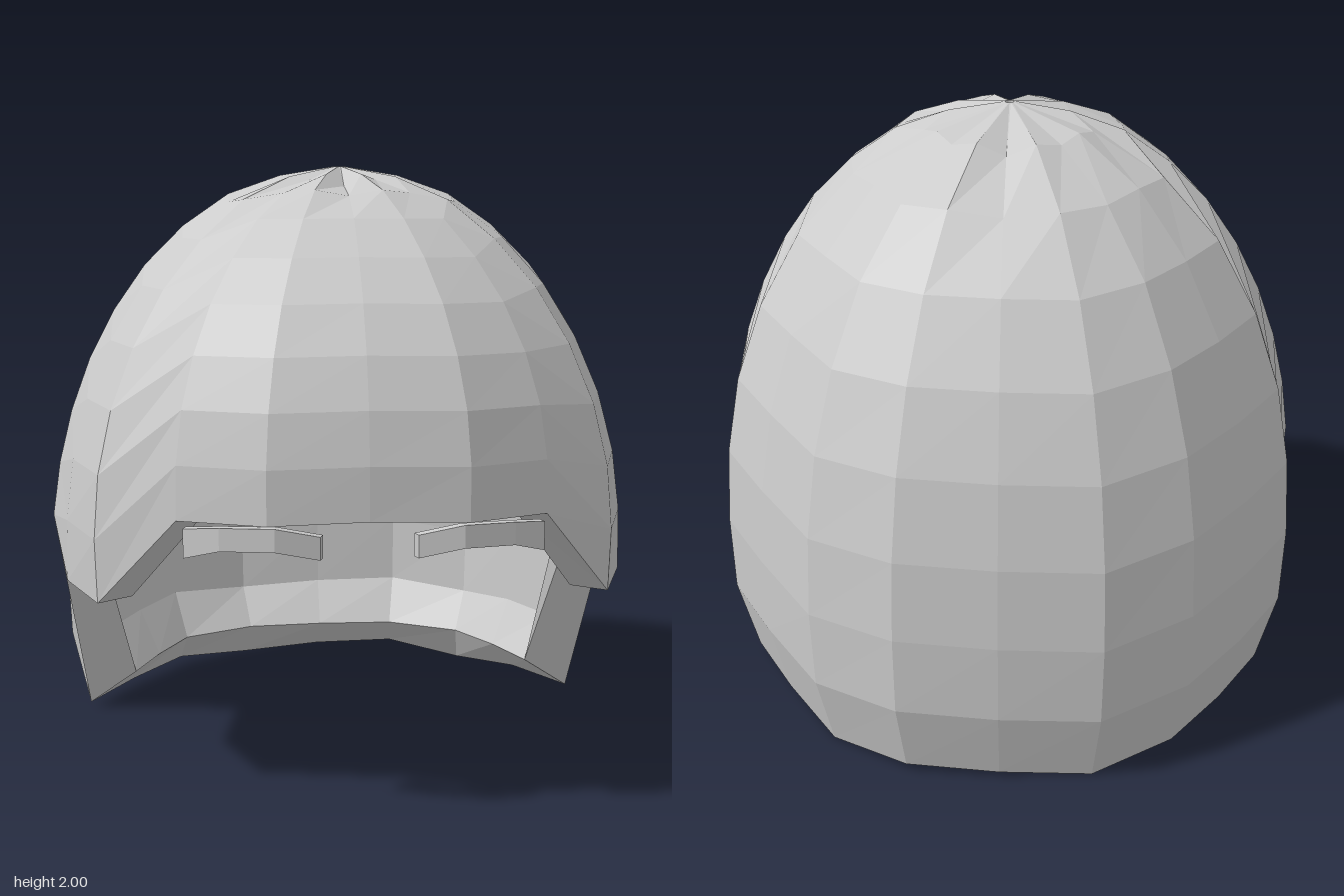
import * as THREE from 'three';

const COLUMNS = 20, ROWS = 9, CENTRE_Z = 0.04, THICKNESS = 0.13;

// Lower hem height of each column, from front centre round by +x to the back and on
const HEM = [0.97, 0.96, 0.95, 0.65, 0.65, 0.81, 0.03, 0.03, 0, 0.03,
  0.02, 0, 0.03, 0.025, 0.02, 0.81, 0.65, 0.65, 0.95, 0.96];

// By column from front centre to back centre, same on both sides:
// outer radius factor, and how far the inside is drawn in sideways
const OUTER = [0.965, 1, 0.985, 1, 0.97, 1, 1.015, 0.99, 1.035, 1.055, 1.025];
const INSET_X = [1, 1, 1, 1, 1, 1, 1.15, 0.8, 0.3, 0.4, 1];

// Dome profile as (radius, height), crown to nape
const PROFILE = new THREE.CatmullRomCurve3([
  [0.015, 2], [0.22, 1.965], [0.42, 1.885], [0.66, 1.675], [0.82, 1.43], [0.925, 1.17],
  [0.985, 0.9], [1.01, 0.6], [1.01, 0.32], [0.935, 0],
].map(([r, y]) => new THREE.Vector3(r, y, 0)));
PROFILE.arcLengthDivisions = 400;

// Skins a list of equal-length sections; each section is a closed loop
function skin(sections, closed) {
  const n = sections[0].length, index = [];
  const last = closed ? sections.length : sections.length - 1;
  for (let j = 0; j < last; j++) {
    const k = (j + 1) % sections.length;
    for (let i = 0; i < n; i++) {
      const m = (i + 1) % n;
      const a = j * n + i, b = k * n + i, c = k * n + m, d = j * n + m;
      index.push(a, d, b, d, c, b);
    }
  }
  if (!closed) {
    const e = (sections.length - 1) * n;
    for (let i = 1; i < n - 1; i++) index.push(0, i + 1, i, e, e + i, e + i + 1);
  }
  const geometry = new THREE.BufferGeometry();
  geometry.setAttribute('position', new THREE.Float32BufferAttribute(sections.flat(2), 3));
  geometry.setIndex(index);
  geometry.computeVertexNormals();
  return geometry;
}

// Fraction of the profile's length at which it reaches height y
function profileEnd(y) {
  let lo = 0, hi = 1;
  for (let i = 0; i < 30; i++) {
    const mid = (lo + hi) / 2;
    if (PROFILE.getPointAt(mid).y > y) lo = mid; else hi = mid;
  }
  return hi;
}

// Height of the inner hem: raised at the nape, slightly lowered over the brow
function innerHemOf(hem) {
  if (hem < 0.1) return 0.15;
  return hem > 0.9 ? hem - 0.015 : hem;
}

// One radial section: down the outside, then back up the inside
function shellSection(column) {
  const angle = column / COLUMNS * Math.PI * 2, sin = Math.sin(angle), cos = Math.cos(angle);
  const side = Math.min(column, COLUMNS - column);
  const hem = HEM[column], end = profileEnd(hem);
  const outer = [], inner = [];
  for (let i = 0; i <= ROWS; i++) {
    const p = PROFILE.getPointAt(end * i / ROWS);
    const slope = PROFILE.getTangentAt(end * i / ROWS);
    // the fringe swells forward between hem and crown
    const swell = 0.085 * Math.max(0, cos) * Math.sin(Math.PI * (p.y - hem) / (2 - hem));
    const r = p.x * (OUTER[side] + swell);
    // partings near the crown, deepest along the centre line
    const parting = column % 2 === 0 && (i === 1 || i === 2) ? (side % 10 === 0 ? 0.04 : 0.018) / i : 0;
    outer.push([sin * r, p.y - parting, CENTRE_Z + cos * r]);
    // the inside is set in along the profile's normal
    const atHem = i === ROWS;
    const depth = Math.min(r - 0.01, -slope.y * THICKNESS * (atHem && hem < 0.1 ? 1.25 : 1));
    inner.unshift([
      sin * (r - depth * INSET_X[side]),
      atHem ? innerHemOf(hem) : p.y - slope.x * THICKNESS,
      CENTRE_Z + cos * (r - depth),
    ]);
  }
  return [...outer, ...inner];
}

export function createModel() {
  const group = new THREE.Group();
  const material = new THREE.MeshStandardMaterial({ color: 0xcccccc, flatShading: true });

  // Hair cap
  const sections = Array.from({ length: COLUMNS }, (_, j) => shellSection(j));
  const hair = new THREE.Mesh(skin(sections, true), material);
  hair.name = 'hair';
  group.add(hair);

  // Eyebrows: x, front z, top, bottom at each station
  const stations = [[0.145, 0.985, 0.93, 0.86], [0.28, 1, 0.96, 0.89],
    [0.44, 0.95, 0.955, 0.885], [0.545, 0.88, 0.94, 0.85]];
  for (const side of [1, -1]) {
    const loops = stations.map(([x, z, top, bottom]) => [
      [side * x, top, z], [side * x, bottom, z],
      [side * (x - 0.01), bottom, z - 0.03], [side * (x - 0.01), top, z - 0.03],
    ]);
    if (side < 0) loops.reverse();
    const brow = new THREE.Mesh(skin(loops, false), material);
    brow.name = side > 0 ? 'leftEyebrow' : 'rightEyebrow';
    group.add(brow);
  }
  return group;
}
